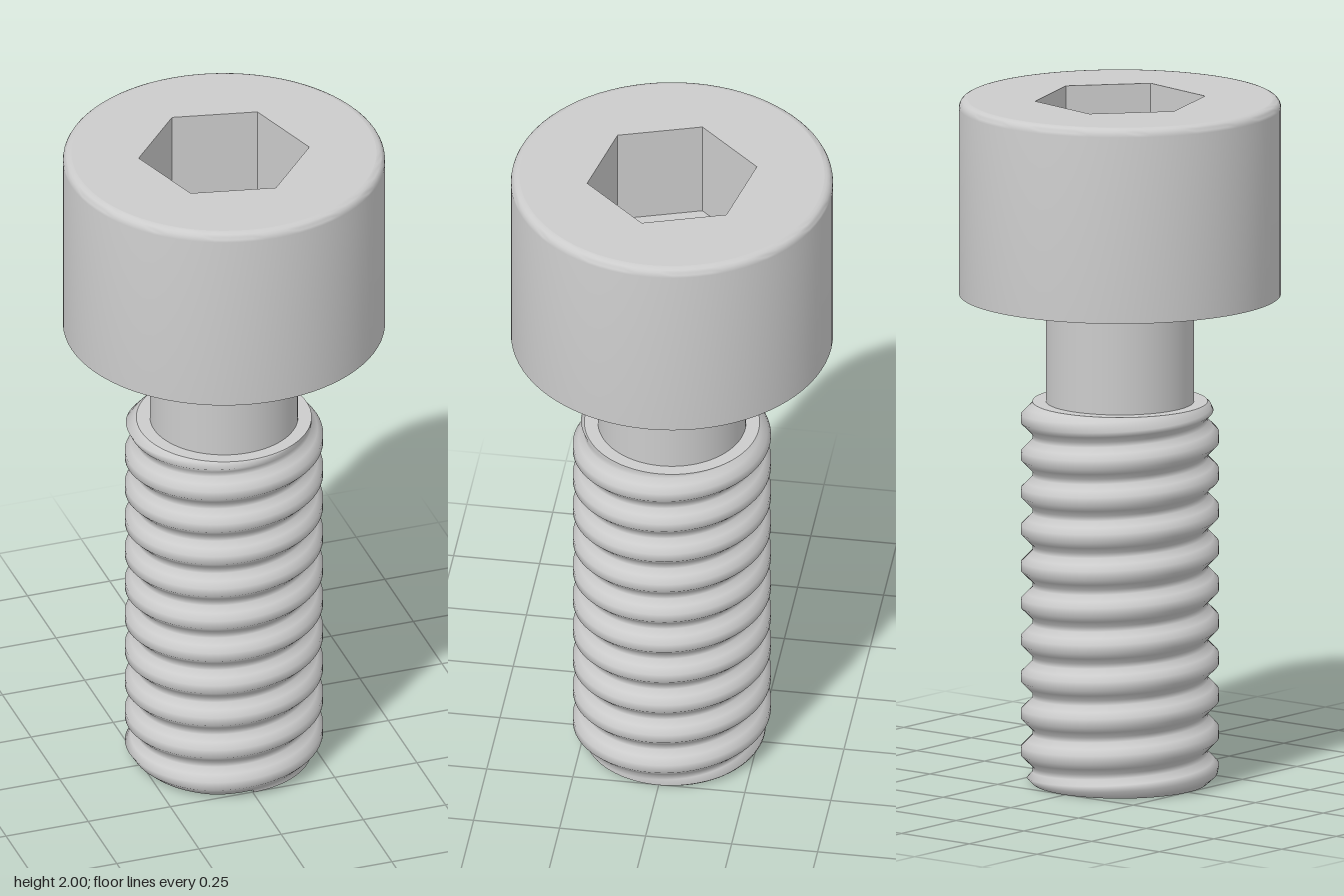
import * as THREE from 'three';
import { mergeVertices, toCreasedNormals } from 'three/addons/utils/BufferGeometryUtils.js';

const SEG = 80;
const HEAD_R = 0.463, HEAD_Y = 1.43, TOP = 2, BEVEL = 0.025;
const HEX_R = 0.247, SOCKET_Y = 1.7, HEX_TURN = THREE.MathUtils.degToRad(12);
const NECK_R = 0.213;
const THREAD_H = 1.115, CREST_R = 0.285, ROOT_R = 0.252, PITCH = 0.108;

// Thread radius at a height and angle: flat root, sloped flanks, flat crest, tapered ends
function threadRadius(y, turn) {
  const p = (((y / PITCH - turn) % 1) + 1) % 1;
  const rise = THREE.MathUtils.clamp((0.43 - Math.abs(p - 0.5)) / 0.31, 0, 1);
  const taper = ROOT_R + Math.min(y, THREAD_H - y) * 1.1;
  return Math.min(ROOT_R + (CREST_R - ROOT_R) * rise, taper);
}

// Helical grid whose rows follow the thread edges
function threadGeometry() {
  const phases = [0.07, 0.225, 0.38, 0.62, 0.775, 0.93];
  const turns = Math.ceil(THREAD_H / PITCH) + 2;
  const rows = turns * phases.length;
  const pos = [], index = [];
  for (let k = 0; k < rows; k++) {
    const level = Math.floor(k / phases.length) - 1 + phases[k % phases.length];
    for (let i = 0; i <= SEG; i++) {
      const turn = i / SEG, a = turn * Math.PI * 2;
      const y = THREE.MathUtils.clamp((level + turn) * PITCH, 0, THREAD_H);
      const r = threadRadius(y, turn);
      // the last column meets the first exactly
      const s = i === SEG ? 0 : Math.sin(a), c = i === SEG ? 1 : Math.cos(a);
      pos.push(s * r, y, c * r);
      if (k < rows - 1 && i < SEG) {
        const v = k * (SEG + 1) + i, up = v + SEG + 1;
        index.push(v, v + 1, up, v + 1, up + 1, up);
      }
    }
  }
  const g = new THREE.BufferGeometry();
  g.setAttribute('position', new THREE.Float32BufferAttribute(pos, 3));
  g.setIndex(index);
  const merged = mergeVertices(g, 1e-5);
  merged.computeVertexNormals();
  return merged;
}

export function createModel() {
  const bolt = new THREE.Group();
  bolt.name = 'socketHeadBolt';
  const grey = new THREE.MeshStandardMaterial({ color: 0xcccccc });
  const inner = new THREE.MeshStandardMaterial({ color: 0xcccccc, side: THREE.BackSide, flatShading: true });

  const add = (name, geometry, y = 0, material = grey) => {
    const mesh = new THREE.Mesh(geometry, material);
    mesh.name = name;
    mesh.position.y = y;
    bolt.add(mesh);
    return mesh;
  };

  // Head: underside, wall and rounded upper rim
  const profile = [new THREE.Vector2(NECK_R - 0.01, HEAD_Y), new THREE.Vector2(HEAD_R, HEAD_Y)];
  for (let i = 0; i <= 5; i++) {
    const a = (i / 5) * Math.PI / 2;
    profile.push(new THREE.Vector2(
      HEAD_R - BEVEL + Math.cos(a) * BEVEL, TOP - BEVEL + Math.sin(a) * BEVEL));
  }
  add('head', toCreasedNormals(new THREE.LatheGeometry(profile, SEG), 0.7));

  // Head top with a hexagonal opening
  const ring = new THREE.Shape().absarc(0, 0, HEAD_R - BEVEL, 0, Math.PI * 2);
  const hex = [];
  for (let i = 0; i < 6; i++) {
    const a = i * Math.PI / 3 - HEX_TURN;
    hex.push(new THREE.Vector2(Math.cos(a) * HEX_R, Math.sin(a) * HEX_R));
  }
  ring.holes.push(new THREE.Path(hex));
  add('headTop', new THREE.ShapeGeometry(ring, SEG).rotateX(-Math.PI / 2), TOP);

  // Hex socket walls and floor
  const depth = TOP - SOCKET_Y;
  add('socketWalls', new THREE.CylinderGeometry(HEX_R, HEX_R, depth, 6, 1, true,
    Math.PI / 2 - HEX_TURN), SOCKET_Y + depth / 2, inner);
  add('socketFloor', new THREE.CircleGeometry(HEX_R, 6, -HEX_TURN).rotateX(-Math.PI / 2), SOCKET_Y);

  // Plain neck between head and thread
  const neckH = HEAD_Y - THREAD_H;
  add('neck', new THREE.CylinderGeometry(NECK_R, NECK_R, neckH, SEG, 1, true), THREAD_H + neckH / 2);

  // Threaded shank with its shoulder and end face
  add('thread', threadGeometry());
  add('threadShoulder', new THREE.RingGeometry(NECK_R, ROOT_R, SEG).rotateX(-Math.PI / 2), THREAD_H);
  add('endFace', new THREE.CircleGeometry(ROOT_R, SEG).rotateX(Math.PI / 2));

  return bolt;
}
